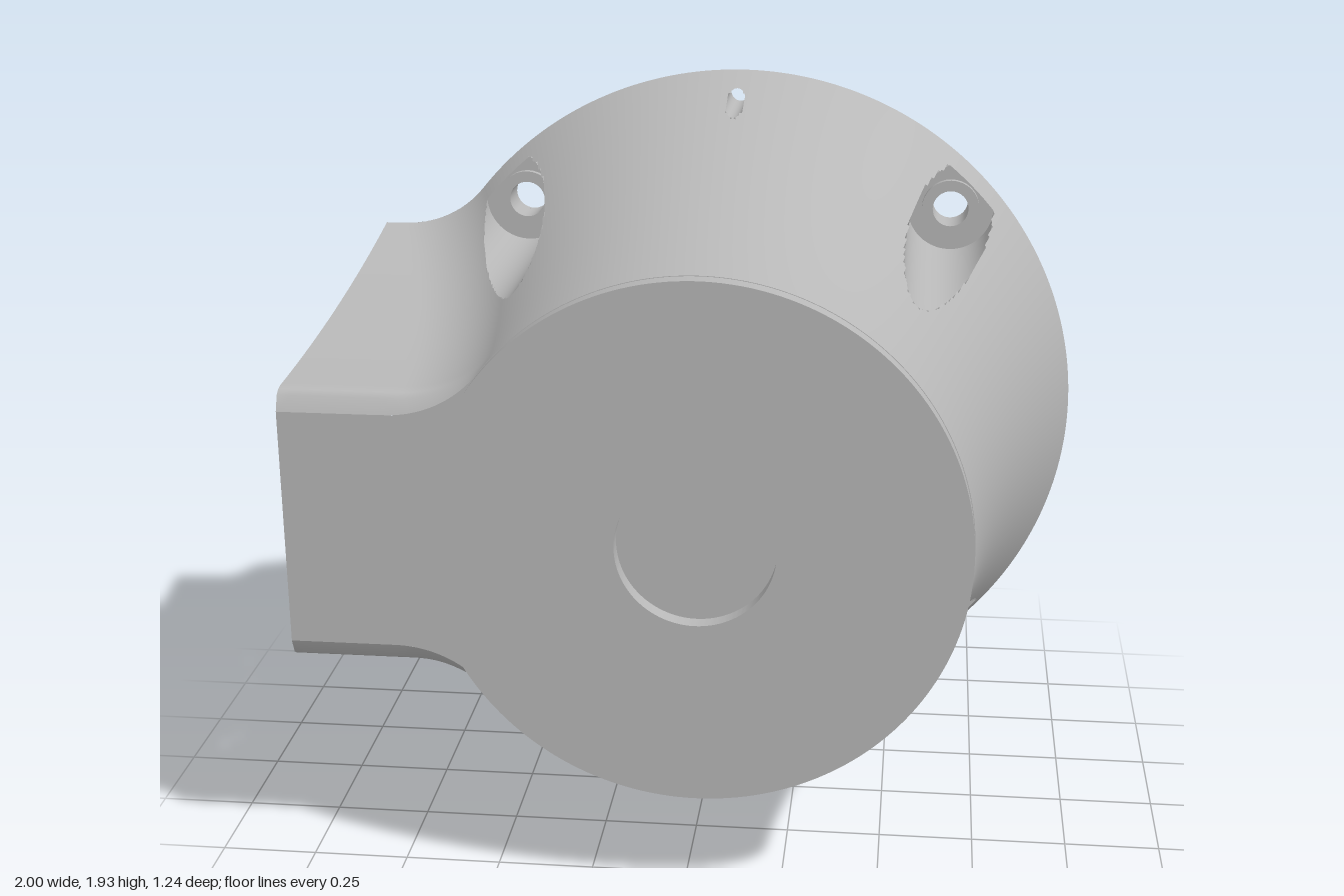
import * as THREE from 'three';
import { toCreasedNormals } from 'three/addons/utils/BufferGeometryUtils.js';

const CX = 0.037, CY = 0.963;             // axis of the flared body
const BACK = -0.607, DUCT_FRONT = 0.575, FRONT = 0.62;
const RAD = Math.PI / 180, FIXED = 33 * RAD, FILLET = 0.3;
const lerp = THREE.MathUtils.lerp;

// Flare of the body along z
function bodyRadius(z) {
  const t = (FRONT - z) / (FRONT - BACK);
  return 0.675 + 0.288 * (0.3 * t + 0.7 * t * t);
}

// Half height of the side duct, rounded off at its front corner
function ductHalf(z) {
  const u = Math.min(1, Math.max(0, (z - 0.525) / 0.05));
  return 0.355 + (bodyRadius(z) - 0.675) * 0.5 - 0.05 * (1 - Math.sqrt(1 - u * u));
}
const endAngle = (z) => Math.atan2(ductHalf(z), 1 + CX);

// Angle (from the -x axis) where the fillet meets the round body
function filletAngle(z) {
  const h = ductHalf(z) + FILLET, D = bodyRadius(z) + FILLET;
  return Math.asin(h / D);
}

// Polar outline: round body, concave fillet, straight duct wall
function outline(phi, z) {
  const R = bodyRadius(z), h = ductHalf(z), D = R + FILLET, pc = filletAngle(z);
  if (phi >= pc) return R;
  if (phi < Math.atan2(h, D * Math.cos(pc))) return h / Math.sin(phi);
  const d = phi - pc, s = D * Math.sin(d);
  return D * Math.cos(d) - Math.sqrt(Math.max(0, FILLET * FILLET - s * s));
}

// Depth at which the outline shrinks to radius r
function depthAt(phi, r) {
  let a = BACK, b = DUCT_FRONT;
  for (let i = 0; i < 30; i++) {
    const m = (a + b) / 2;
    if (outline(phi, m) > r) a = m; else b = m;
  }
  return (a + b) / 2;
}

const polar = (phi, r, z, side) => [CX - r * Math.cos(phi), CY + side * r * Math.sin(phi), z];

// Grid surface; keep() may leave out cells
function grid(nu, nv, fn, flip = false, keep = () => true) {
  const pos = [], idx = [];
  for (let i = 0; i <= nu; i++) for (let j = 0; j <= nv; j++) pos.push(...fn(i, j));
  for (let i = 0; i < nu; i++) for (let j = 0; j < nv; j++) {
    const a = i * (nv + 1) + j, b = a + nv + 1;
    const mid = [0, 1, 2].map((k) => [a, a + 1, b, b + 1].reduce((s, v) => s + pos[v * 3 + k], 0) / 4);
    if (!keep(mid)) continue;
    if (flip) idx.push(a, a + 1, b, b, a + 1, b + 1);
    else idx.push(a, b, a + 1, b, b + 1, a + 1);
  }
  const g = new THREE.BufferGeometry();
  g.setAttribute('position', new THREE.Float32BufferAttribute(pos, 3));
  g.setIndex(idx);
  g.computeVertexNormals();
  return g;
}

// Cylindrical cuts along z in each half: two screw pockets and a pin hole
const CUTS = [
  { phi: 45 * RAD, d: 0.8485, r: 0.12, z0: -0.53, hole: 0.05, pad: 0.14 },
  { phi: 135 * RAD, d: 0.8485, r: 0.12, z0: -0.53, hole: 0.05, pad: 0.14 },
  { phi: 90 * RAD, d: 0.9, r: 0.027, z0: BACK, hole: 0.027, pad: 0.065 },
];

// Point at local polar position (rad, a) around a cut's axis
function aroundCut(c, rad, a) {
  const x = c.d + rad * Math.cos(a), y = rad * Math.sin(a);
  return { phi: c.phi + Math.atan2(y, x), r: Math.hypot(x, y) };
}

function shellHalf(side) {
  const nz = 70, n1 = 24, n2 = 294;
  const columns = [];
  for (let j = 0; j <= n1 + n2; j++) {
    const phi = j < n1 ? null : lerp(FIXED, Math.PI, (j - n1) / n2);
    const zs = Array.from({ length: nz + 1 }, (_, i) => lerp(BACK, DUCT_FRONT, i / nz));
    // pull the nearest rows onto the rims of the cuts
    if (phi !== null) for (const c of CUTS) {
      const s = c.d * Math.sin(phi - c.phi), m = c.d * Math.cos(phi - c.phi);
      if (Math.abs(s) >= c.r || m < 0) continue;
      const w = Math.sqrt(c.r * c.r - s * s);
      for (const r of [m + w, m - w]) {
        const z = Math.max(c.z0, depthAt(phi, r));
        zs[Math.round((z - BACK) / (DUCT_FRONT - BACK) * nz)] = z;
      }
    }
    columns.push({ phi, zs });
  }
  const point = (i, j) => {
    const z = columns[j].zs[i];
    const phi = columns[j].phi ?? lerp(endAngle(z), FIXED, j / n1);
    return polar(phi, outline(phi, z), z, side);
  };
  const keep = ([x, y, z]) => !CUTS.some((c) => {
    const [ax, ay] = polar(c.phi, c.d, 0, side);
    return z > c.z0 && Math.hypot(x - ax, y - ay) < c.r;
  });
  return grid(nz, n1 + n2, point, side < 0, keep);
}

// Wall of a pocket or pin hole, trimmed by the body surface
function cutWall(c, side) {
  return grid(96, 6, (i, j) => {
    const p = aroundCut(c, c.r, i / 96 * Math.PI * 2);
    const top = Math.max(c.z0, depthAt(p.phi, p.r));
    return polar(p.phi, p.r, lerp(c.z0, top, j / 6), side);
  }, side < 0);
}

// Flat seat at the bottom of a pocket
function pocketFloor(c, side) {
  return grid(64, 4, (i, j) => {
    const p = aroundCut(c, lerp(c.hole, c.r, j / 4), i / 64 * Math.PI * 2);
    return polar(p.phi, Math.min(p.r, outline(p.phi, c.z0)), c.z0, side);
  }, side > 0);
}

// Tongue-shaped pad on the back, reaching out to the rim
function backPad(c, side) {
  const rim = 0.96, a = Math.asin(c.pad / rim);
  const s = new THREE.Shape();
  s.absarc(0, 0, rim, -a, a, false);
  s.absarc(c.d, 0, c.pad, Math.PI / 2, Math.PI * 1.5, false);
  s.closePath();
  s.holes.push(new THREE.Path().absarc(c.d, 0, c.hole, 0, Math.PI * 2, true));
  const g = new THREE.ExtrudeGeometry(s, { depth: 0.013, bevelEnabled: false, curveSegments: 24 });
  g.rotateZ(side * (Math.PI - c.phi));
  g.translate(CX, CY, -0.62);
  return toCreasedNormals(g, 0.5);
}

// Screw sleeve with a raised collar
function sleeve(c, side) {
  const profile = [[c.hole, -0.62], [c.hole, -0.512], [0.08, -0.512], [0.08, c.z0]];
  const g = new THREE.LatheGeometry(profile.map((p) => new THREE.Vector2(...p)), 32);
  g.rotateX(Math.PI / 2);
  const [x, y] = polar(c.phi, c.d, 0, side);
  g.translate(x, y, 0);
  return toCreasedNormals(g, 0.6);
}

// Back plate following the rear outline, pierced for screws and pins
function backPlate() {
  const half = [], a = endAngle(BACK), n = 150;
  for (let i = 0; i <= n; i++) {
    const phi = lerp(a, Math.PI, i / n);
    half.push([phi, outline(phi, BACK)]);
  }
  const pts = (list, side) => list.map(([p, r]) => new THREE.Vector2(...polar(p, r, 0, side).slice(0, 2)));
  const shape = new THREE.Shape([...pts(half, 1), ...pts(half.slice(0, -1).reverse(), -1)]);
  for (const side of [1, -1]) for (const c of CUTS) {
    const [x, y] = polar(c.phi, c.d, 0, side);
    shape.holes.push(new THREE.Path().absarc(x, y, c.hole, 0, Math.PI * 2, true));
  }
  const g = new THREE.ShapeGeometry(shape, 24);
  g.index.array.reverse();
  g.attributes.normal.array.forEach((v, i, arr) => { arr[i] = -v; });
  return g.translate(0, 0, BACK);
}

// Flat front of the duct, between its end and the round body
function ductFace(side) {
  const z = DUCT_FRONT, a = endAngle(z), pc = filletAngle(z), R = bodyRadius(z);
  return grid(60, 1, (i, j) => {
    const u = i / 30;
    const phi = u <= 1 ? a * u : lerp(a, pc, u - 1);
    const outer = u <= 1 ? (1 + CX) / Math.cos(phi) : outline(phi, z);
    return polar(phi, j ? outer : R, z, side);
  }, side < 0);
}

// Round front disc with a central opening
function frontDisc() {
  const s = new THREE.Shape().absarc(CX, CY, 0.677, 0, Math.PI * 2, false);
  s.holes.push(new THREE.Path().absarc(CX, CY, 0.2, 0, Math.PI * 2, true));
  const g = new THREE.ExtrudeGeometry(s, { depth: FRONT - DUCT_FRONT, bevelEnabled: false, curveSegments: 96 });
  return toCreasedNormals(g.translate(0, 0, DUCT_FRONT), 0.5);
}

export function createModel() {
  const model = new THREE.Group();
  model.name = 'flaredHousing';
  const grey = new THREE.MeshStandardMaterial({ color: 0xb8b8b8, side: THREE.DoubleSide });
  grey.name = 'grey';
  const add = (name, geometry) => {
    const mesh = new THREE.Mesh(geometry, grey);
    mesh.name = name;
    model.add(mesh);
  };

  add('frontDisc', frontDisc());
  add('backPlate', backPlate());
  for (const side of [1, -1]) {
    const where = side > 0 ? 'Upper' : 'Lower';
    add('shell' + where, shellHalf(side));
    add('ductFront' + where, ductFace(side));
    CUTS.forEach((c, i) => {
      const screw = c.hole < c.r;
      add((screw ? 'screwPocket' : 'pinHole') + where + (i + 1), cutWall(c, side));
      add('backPad' + where + (i + 1), backPad(c, side));
      if (!screw) return;
      add('pocketFloor' + where + (i + 1), pocketFloor(c, side));
      add('screwSleeve' + where + (i + 1), sleeve(c, side));
    });
  }
  return model;
}
